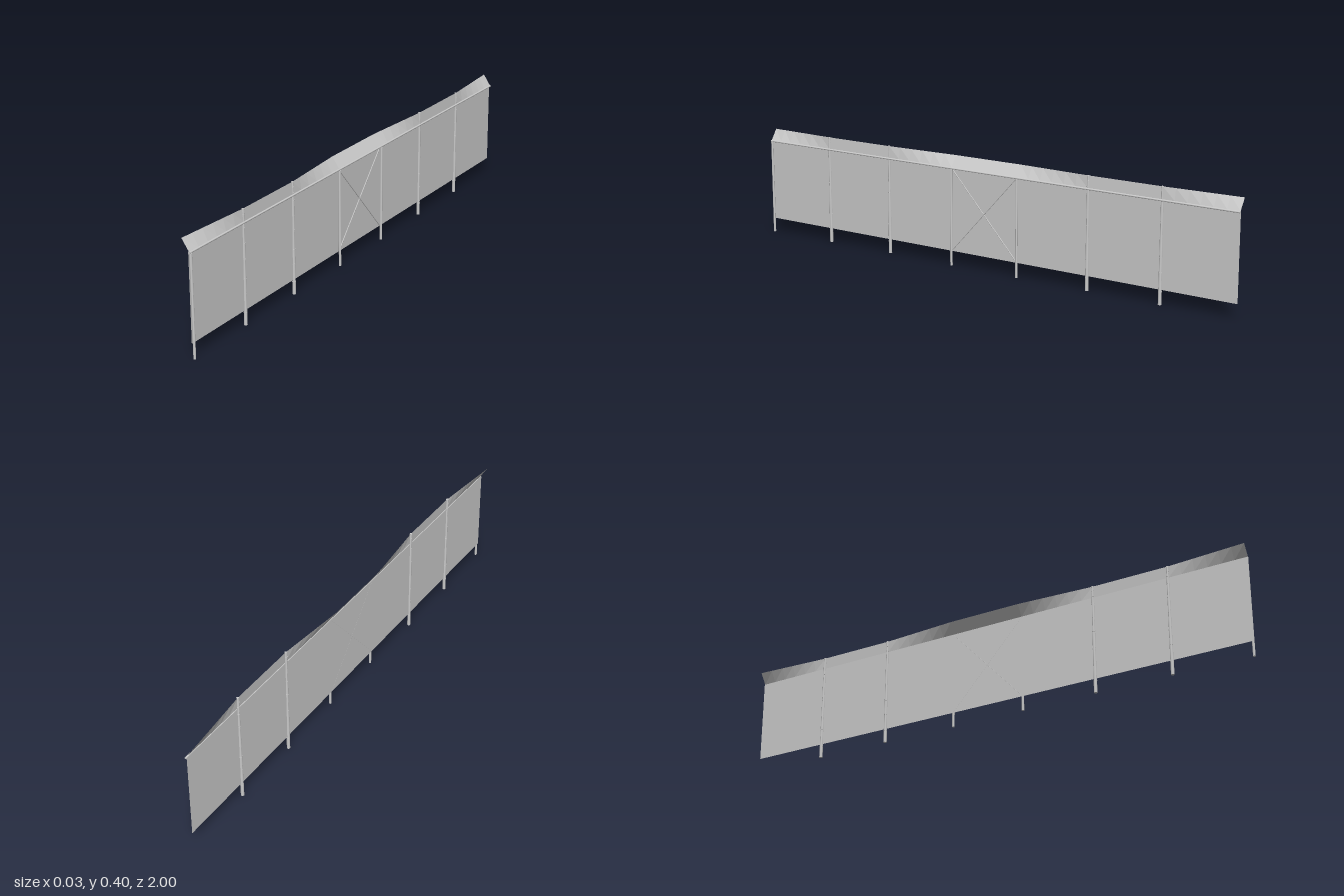
import * as THREE from 'three';

const grey = new THREE.MeshStandardMaterial({ color: 0xcccccc });
const thin = new THREE.MeshStandardMaterial({ color: 0xcccccc, side: THREE.DoubleSide, flatShading: true });

// Round bar between two points
function bar(name, a, b, rA, rB = rA, sides = 10) {
  const from = new THREE.Vector3(...a), to = new THREE.Vector3(...b);
  const dir = to.clone().sub(from);
  const mesh = new THREE.Mesh(new THREE.CylinderGeometry(rB, rA, dir.length(), sides), grey);
  mesh.position.copy(from).add(to).multiplyScalar(0.5);
  mesh.quaternion.setFromUnitVectors(new THREE.Vector3(0, 1, 0), dir.normalize());
  mesh.name = name;
  return mesh;
}

// Tall pole with bands along its height
function tallPole(z) {
  const pole = new THREE.Group();
  pole.name = 'tallPole';
  const x = 0.006;
  pole.add(bar('poleShaft', [x, 0, z], [x, 0.404, z], 0.0062, 0.0042));
  for (const y of [0.045, 0.11, 0.163, 0.23, 0.285, 0.337, 0.365, 0.384, 0.401]) {
    const r = 0.0068 - 0.002 * (y / 0.404);
    pole.add(bar('poleBand', [x, y - 0.0015, z], [x, y + 0.0015, z], r));
  }
  return pole;
}

// Top flap: vertical at the tall poles, leaning back elsewhere
function topFlap() {
  const out = [-0.018, 0.4], up = [0.006, 0.403];
  const stations = [
    [1, out], [0.71, up], [0.425, up], [0.14, out],
    [-0.14, out], [-0.43, up], [-0.715, up], [-1, out],
  ];
  const steps = 6, pos = [], index = [];
  stations.slice(0, -1).forEach(([z0, p0], i) => {
    const [z1, p1] = stations[i + 1];
    const last = i === stations.length - 2 ? 1 : 0;
    for (let k = 0; k < steps + last; k++) {
      const t = k / steps, z = z0 + (z1 - z0) * t;
      pos.push(0.009, 0.36, z);
      pos.push(p0[0] + (p1[0] - p0[0]) * t, p0[1] + (p1[1] - p0[1]) * t, z);
    }
  });
  for (let i = 0; i < pos.length / 3 - 2; i += 2) index.push(i, i + 2, i + 1, i + 1, i + 2, i + 3);
  const geo = new THREE.BufferGeometry();
  geo.setAttribute('position', new THREE.Float32BufferAttribute(pos, 3));
  geo.setIndex(index);
  geo.computeVertexNormals();
  const mesh = new THREE.Mesh(geo, thin);
  mesh.name = 'topFlap';
  return mesh;
}

export function createModel() {
  const fence = new THREE.Group();
  fence.name = 'fence';

  // Thin screen running the whole length
  const screen = new THREE.Mesh(new THREE.PlaneGeometry(2, 0.308), thin);
  screen.rotation.y = Math.PI / 2;
  screen.position.set(0.006, 0.206, 0);
  screen.name = 'screen';
  fence.add(screen, topFlap());

  // Top rail
  fence.add(bar('topRail', [0.010, 0.357, 1], [0.010, 0.357, -1], 0.0036));

  // Poles through the screen, and short posts in front of it
  for (const z of [0.71, 0.425, -0.43, -0.715]) fence.add(tallPole(z));
  for (const z of [0.995, 0.14, -0.143]) {
    fence.add(bar('shortPost', [0.0115, 0, z], [0.0115, 0.355, z], 0.0045));
  }

  // Crossed braces of the middle bay
  for (const s of [1, -1]) {
    fence.add(bar('crossBrace', [0.0075, 0.055, -0.14 * s], [0.0075, 0.357, 0.14 * s], 0.0018, 0.0018, 8));
  }
  return fence;
}
